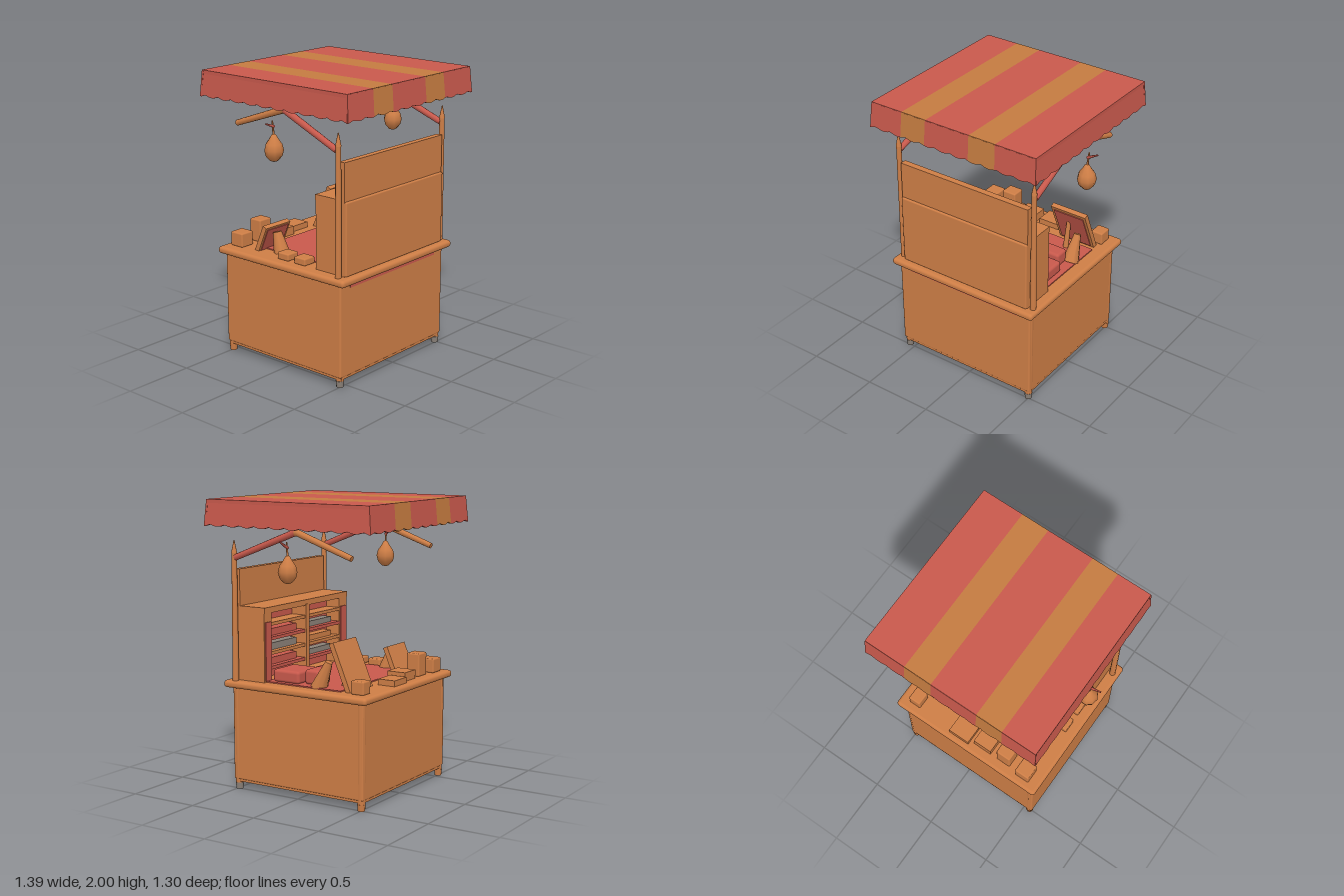
import * as THREE from 'three';
import { RoundedBoxGeometry } from 'three/addons/geometries/RoundedBoxGeometry.js';

export function createModel() {
  const root = new THREE.Group();
  const mat = (name, color, side = THREE.FrontSide) => {
    const m = new THREE.MeshStandardMaterial({ color, side });
    m.name = name;
    return m;
  };
  const wood = mat('orange wood', 0xce7e46);
  const red = mat('red cloth', 0xc8594c);
  const gold = mat('ochre cloth', 0xc47b40);
  const grey = mat('grey', 0x8c8279);

  const add = (name, geo, m, parent = root) => {
    const mesh = new THREE.Mesh(geo, m);
    mesh.name = name;
    parent.add(mesh);
    return mesh;
  };
  // Box given by its minimum and maximum on each axis
  const box = (name, x0, x1, y0, y1, z0, z1, m = wood, r = 0) => {
    const s = [x1 - x0, y1 - y0, z1 - z0];
    const mesh = add(name, r ? new RoundedBoxGeometry(...s, 3, r) : new THREE.BoxGeometry(...s), m);
    mesh.position.set((x0 + x1) / 2, (y0 + y1) / 2, (z0 + z1) / 2);
    return mesh;
  };
  // Round bar between two points
  const bar = (name, a, b, r0, r1, m = wood, sides = 10) => {
    const p = new THREE.Vector3(...a), q = new THREE.Vector3(...b);
    const d = q.clone().sub(p);
    const mesh = add(name, new THREE.CylinderGeometry(r1, r0, d.length(), sides), m);
    mesh.position.copy(p).addScaledVector(d, 0.5);
    mesh.quaternion.setFromUnitVectors(new THREE.Vector3(0, 1, 0), d.normalize());
    return mesh;
  };

  // Stall body, legs and counter
  box('body', -0.575, 0.52, 0.075, 0.73, -0.525, 0.52, wood, 0.012);
  for (const x of [-0.545, 0.495]) {
    for (const z of [-0.5, 0.49]) {
      bar('leg', [x, 0.03, z], [x, 0.72, z], 0.026, 0.03);
      bar('foot', [x, 0.005, z], [x, 0.05, z], 0.024, 0.028, z > 0 ? grey : wood);
    }
  }
  for (const z of [-0.5, 0.495]) box('bottomRail', -0.56, 0.505, 0.06, 0.085, z - 0.02, z + 0.02);
  for (const x of [-0.55, 0.495]) box('bottomRail', x - 0.02, x + 0.02, 0.06, 0.085, -0.5, 0.5);
  box('counter', -0.61, 0.565, 0.72, 0.77, -0.57, 0.57, wood, 0.022);
  box('counterTrim', -0.48, 0.42, 0.688, 0.715, 0.518, 0.525, red);
  box('counterCloth', -0.43, 0.47, 0.766, 0.778, -0.32, 0.28, red);

  // Shelf cabinet, open towards the back
  box('backPanel', -0.53, 0.495, 0.77, 1.53, 0.47, 0.515);
  box('cabinetFront', -0.53, 0.495, 0.77, 1.27, 0.49, 0.53, wood, 0.01);
  box('cabinetTop', -0.53, 0.495, 1.24, 1.28, 0.265, 0.5);
  box('cabinetLining', -0.45, 0.43, 0.77, 1.24, 0.38, 0.48, red);
  for (const [a, b] of [[-0.53, -0.43], [0.41, 0.495]]) {
    box('cabinetSide', a, b, 0.77, 1.26, 0.27, 0.5);
    box('cabinetEdge', a + 0.01, b - 0.01, 0.78, 1.18, 0.262, 0.271, red);
  }
  box('shelfDivider', -0.03, 0.01, 0.78, 1.25, 0.26, 0.39);
  for (let i = 0; i < 4; i++) {
    const y = 0.85 + i * 0.1;
    box('shelf', -0.44, 0.42, y, y + 0.022, 0.27, 0.39, i % 2 ? wood : red);
    if (i < 3) {
      box('shelfGoods', -0.38, -0.08, y + 0.022, y + 0.06, 0.31, 0.385, i === 1 ? wood : grey);
      box('shelfGoods', 0.06, 0.36, y + 0.022, y + 0.07, 0.31, 0.385, i === 1 ? grey : red);
    }
  }

  // Posts, roof arms and hanging lanterns
  const profile = [[0, 1.47], [0.025, 1.478], [0.055, 1.51], [0.065, 1.55], [0.055, 1.59],
    [0.03, 1.625], [0.016, 1.65], [0, 1.66]].map(p => new THREE.Vector2(...p));
  for (const s of [-1, 1]) {
    const px = s < 0 ? -0.562 : 0.525, ax = s < 0 ? -0.53 : 0.505, lx = s < 0 ? -0.63 : 0.6;
    bar('post', [px, 0.76, 0.49], [px, 1.64, 0.49], 0.022, 0.018);
    bar('postTip', [px, 1.64, 0.49], [px, 1.725, 0.49], 0.02, 0.003);
    bar('frontArm', [px, 1.61, 0.48], [ax, 1.8, 0], 0.021, 0.024, red);
    bar('backArm', [ax, 1.8, 0], [ax, 1.65, -0.43], 0.024, 0.02);
    add('armJoint', new THREE.SphereGeometry(0.025, 10, 8), wood).position.set(ax, 1.797, 0);
    const lantern = add('lantern', new THREE.LatheGeometry(profile, 9), wood);
    lantern.position.set(lx, 0, 0);
    bar('lanternCord', [lx, 1.64, 0], [lx + s * 0.012, 1.745, 0], 0.008, 0.005, wood, 6);
    bar('lanternHook', [lx, 1.705, 0], [lx + s * 0.08, s < 0 ? 1.735 : 1.75, 0.005], 0.011, 0.005, red, 6);
  }

  // Goods on the counter
  const board = (x, w, h, z) => {
    const g = new THREE.Group();
    g.name = 'displayBoard';
    const lean = 0.4;
    const panel = add('boardPanel', new THREE.BoxGeometry(w, h, 0.035), wood, g);
    const face = add('boardFace', new THREE.BoxGeometry(w * 0.85, h * 0.85, 0.006), red, g);
    panel.position.y = face.position.y = h / 2;
    face.position.z = 0.02;
    g.position.set(x, 0.765, z);
    g.rotation.x = lean;
    root.add(g);
  };
  board(0.32, 0.28, 0.345, -0.375);
  board(-0.38, 0.24, 0.2, -0.3);
  bar('boardStrut', [0.3, 0.77, -0.24], [0.3, 1.0, -0.28], 0.02, 0.014, wood, 6);
  bar('sack', [0.42, 0.77, -0.12], [0.42, 0.95, -0.2], 0.06, 0.025, wood, 8);
  bar('sack', [-0.42, 0.77, -0.14], [-0.42, 0.91, -0.18], 0.055, 0.03, wood, 8);
  box('cushion', 0.2, 0.44, 0.775, 0.86, 0.03, 0.24, red, 0.02);
  box('cushion', 0.24, 0.4, 0.775, 0.875, -0.1, 0.01, red, 0.02);
  box('crate', 0.4, 0.49, 0.77, 0.86, -0.51, -0.41, wood, 0.01);
  box('crate', -0.2, -0.06, 0.77, 0.83, -0.5, -0.36);
  box('crate', -0.53, -0.42, 0.77, 0.87, -0.52, -0.41, wood, 0.01);
  box('tallCrate', -0.36, -0.25, 0.77, 0.93, -0.5, -0.4, wood, 0.01);
  box('tray', -0.03, 0.13, 0.77, 0.81, -0.53, -0.4);
  for (const z of [-0.02, 0.13]) box('tray', -0.54, -0.44, 0.77, 0.82, z - 0.05, z + 0.05, wood, 0.01);

  // Striped canopy with a scalloped valance
  const wave = t => 0.162 + 0.014 * Math.abs(Math.sin(t * Math.PI / 0.118));
  const valance = (a, b, m, parent) => {
    const shape = new THREE.Shape();
    shape.moveTo(a, 0);
    const n = Math.max(8, Math.round((b - a) / 0.02));
    for (let i = 0; i <= n; i++) {
      const t = a + (b - a) * i / n;
      shape.lineTo(t * (1 + 0.015), -wave(t));
    }
    shape.lineTo(b, 0);
    return add('valance', new THREE.ExtrudeGeometry(shape, { depth: 0.014, bevelEnabled: false }), m, parent);
  };
  const canopy = new THREE.Group();
  canopy.name = 'canopy';
  canopy.position.set(-0.008, 1.995, 0);
  root.add(canopy);
  const edges = [-0.64, -0.392, -0.202, 0.138, 0.338, 0.64];
  const sides = [0, 1, 2, 3].map(i => {
    const g = new THREE.Group();
    g.name = 'canopySide';
    g.rotation.y = i * Math.PI / 2;
    canopy.add(g);
    return g;
  });
  const hang = mesh => {
    mesh.position.z = 0.622;
    mesh.rotation.x = -0.09;
  };
  for (let i = 0; i < 5; i++) {
    const a = edges[i], b = edges[i + 1], m = i % 2 ? gold : red;
    const top = add('canopyStripe', new THREE.BoxGeometry(b - a, 0.025, 1.27), m, canopy);
    top.position.set((a + b) / 2, -0.0075, 0);
    hang(valance(a, b, m, sides[0]));
    hang(valance(-b, -a, m, sides[2]));
  }
  for (const i of [1, 3]) hang(valance(-0.635, 0.635, red, sides[i]));
  return root;
}
